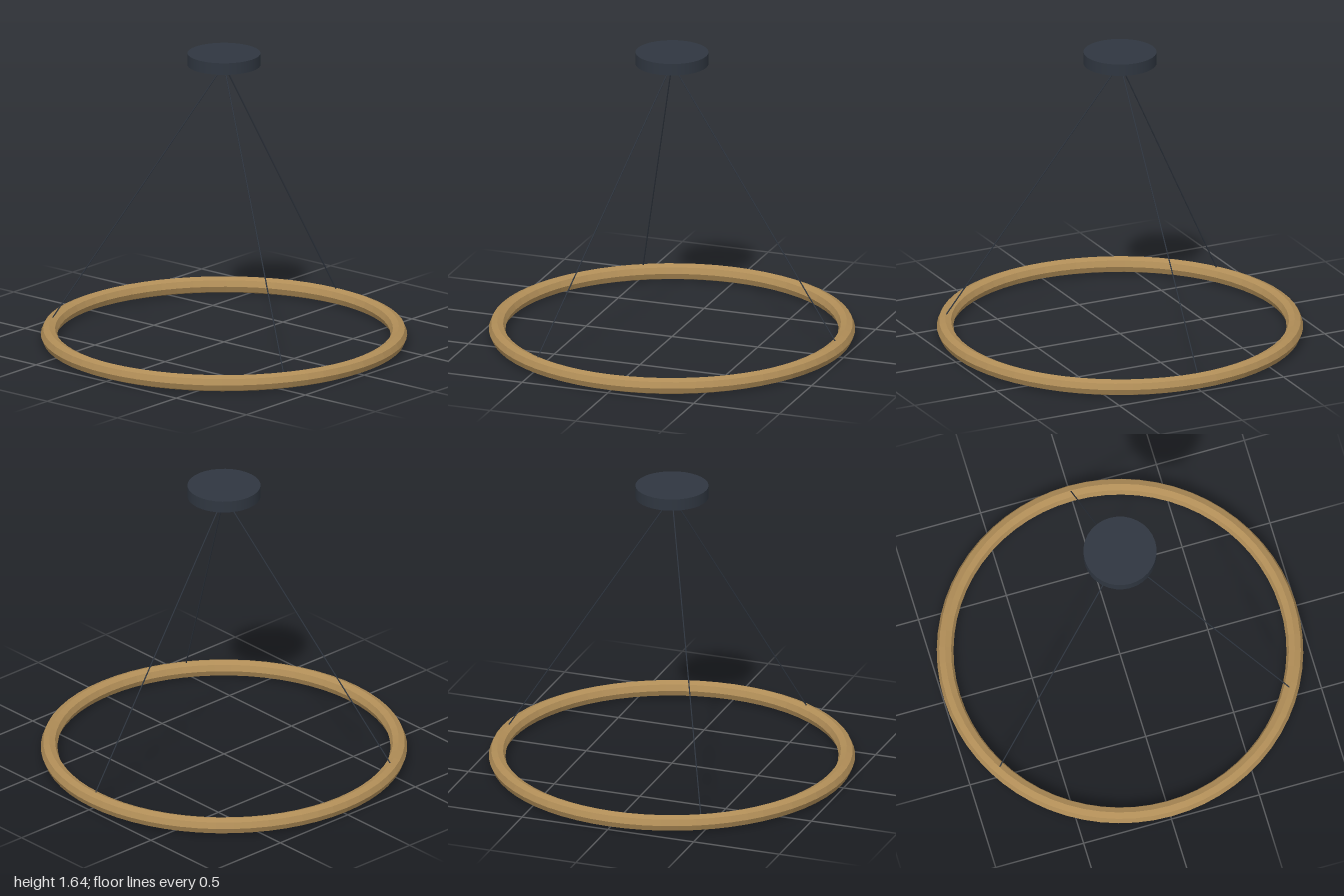
import * as THREE from 'three';

const RING_RADIUS = 0.955;
const TUBE = 0.046;
const CANOPY_BOTTOM = 1.578;
const CANOPY_HEIGHT = 0.066;

export function createModel() {
  const model = new THREE.Group();
  model.name = 'pendantLamp';

  const brass = new THREE.MeshStandardMaterial({ color: 0xb08d57, flatShading: true });
  const dark = new THREE.MeshStandardMaterial({ color: 0x2f3640 });
  const cableDark = new THREE.MeshStandardMaterial({ color: 0x2f3640 });

  const add = (name, geometry, material) => {
    const mesh = new THREE.Mesh(geometry, material);
    mesh.name = name;
    model.add(mesh);
    return mesh;
  };

  // Faceted ring with an eight-sided section, lying flat
  const ring = add('ring', new THREE.TorusGeometry(RING_RADIUS, TUBE, 8, 64).rotateX(-Math.PI / 2), brass);
  ring.position.y = TUBE;

  // Ceiling canopy
  const canopy = add('canopy', new THREE.CylinderGeometry(0.2, 0.2, CANOPY_HEIGHT, 32), dark);
  canopy.position.y = CANOPY_BOTTOM + CANOPY_HEIGHT / 2;

  // Three cables fan out from the canopy to the top of the ring
  const top = new THREE.Vector3(0, CANOPY_BOTTOM, 0);
  for (let i = 0; i < 3; i++) {
    const a = (i * Math.PI * 2) / 3;
    const end = new THREE.Vector3(Math.cos(a) * 0.95, TUBE * 2 - 0.002, Math.sin(a) * 0.95);
    const dir = top.clone().sub(end);
    const cable = add(`cable${i + 1}`, new THREE.CylinderGeometry(0.0035, 0.0035, dir.length(), 8), cableDark);
    cable.position.copy(top).add(end).multiplyScalar(0.5);
    cable.quaternion.setFromUnitVectors(new THREE.Vector3(0, 1, 0), dir.normalize());
  }

  return model;
}
